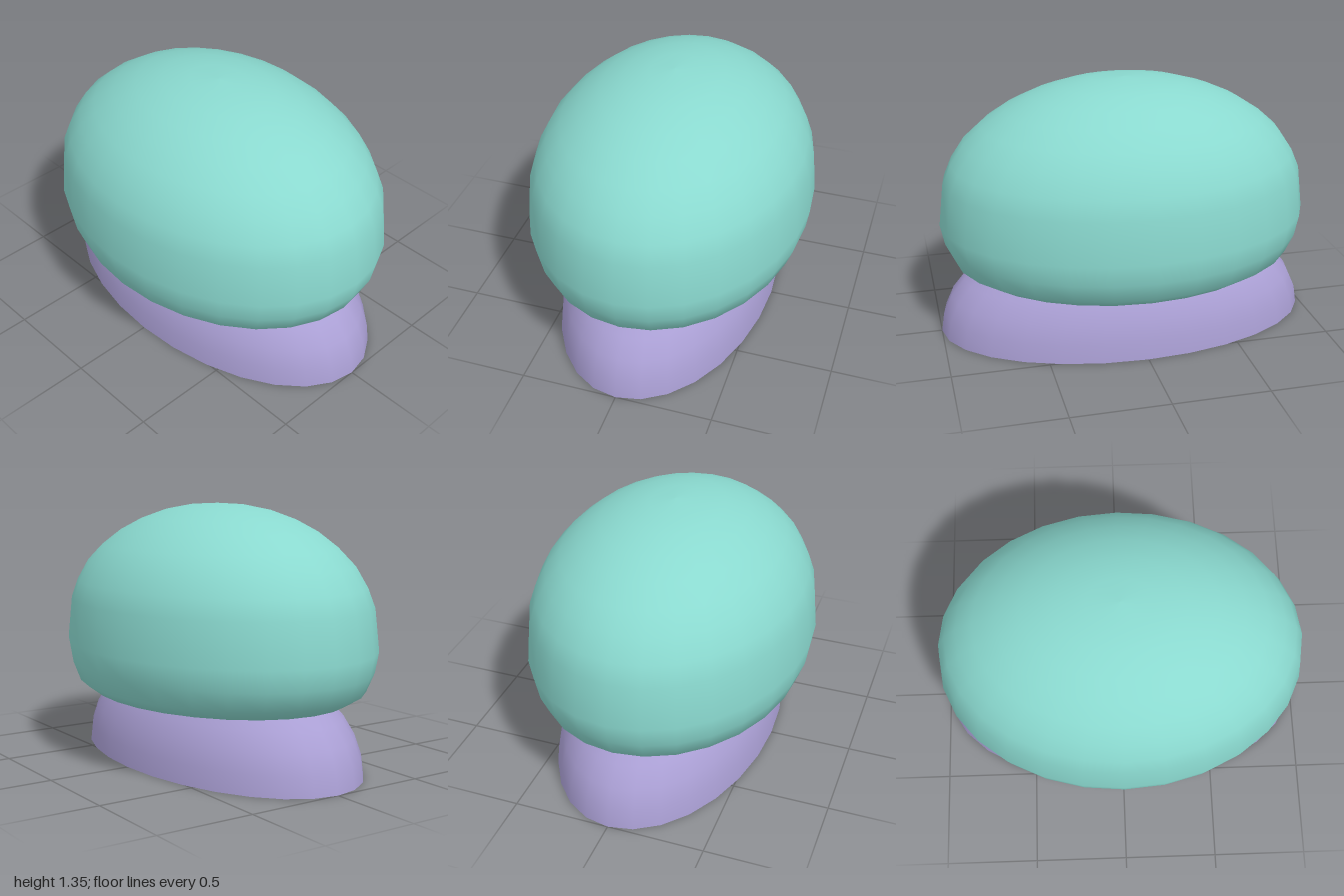
import * as THREE from 'three';

const SEGMENTS = 28;

function material(name, color) {
  const m = new THREE.MeshStandardMaterial({ color, side: THREE.DoubleSide });
  m.name = name;
  return m;
}

// Smooth lathe of unit radius, stretched to an oval plan
function ovalShell(name, profile, halfWidth, halfDepth, mat) {
  const points = profile.map(([r, y]) => new THREE.Vector2(r, y));
  const mesh = new THREE.Mesh(new THREE.LatheGeometry(points, SEGMENTS), mat);
  mesh.name = name;
  mesh.scale.set(halfWidth, 1, halfDepth);
  return mesh;
}

export function createModel() {
  const group = new THREE.Group();
  group.name = 'domedCap';

  // Rounded cap with an open hole in its shallow underside
  const cap = [
    [0.3, 0.25], [0.64, 0.31], [0.835, 0.347], [0.928, 0.4], [0.977, 0.5],
    [1, 0.61], [0.973, 0.83], [0.929, 0.93], [0.857, 1.035], [0.76, 1.12],
    [0.636, 1.2], [0.497, 1.262], [0.338, 1.31], [0.172, 1.337], [0, 1.345],
  ];
  group.add(ovalShell('cap', cap, 0.978, 0.74, material('teal', 0x8ad9cf)));

  // Flared foot ring, open below, tucked into the cap
  const foot = [[1, 0], [0.985, 0.1], [0.94, 0.2], [0.866, 0.29], [0.77, 0.365]];
  group.add(ovalShell('footRing', foot, 1, 0.565, material('lavender', 0xaa9fd4)));

  return group;
}
